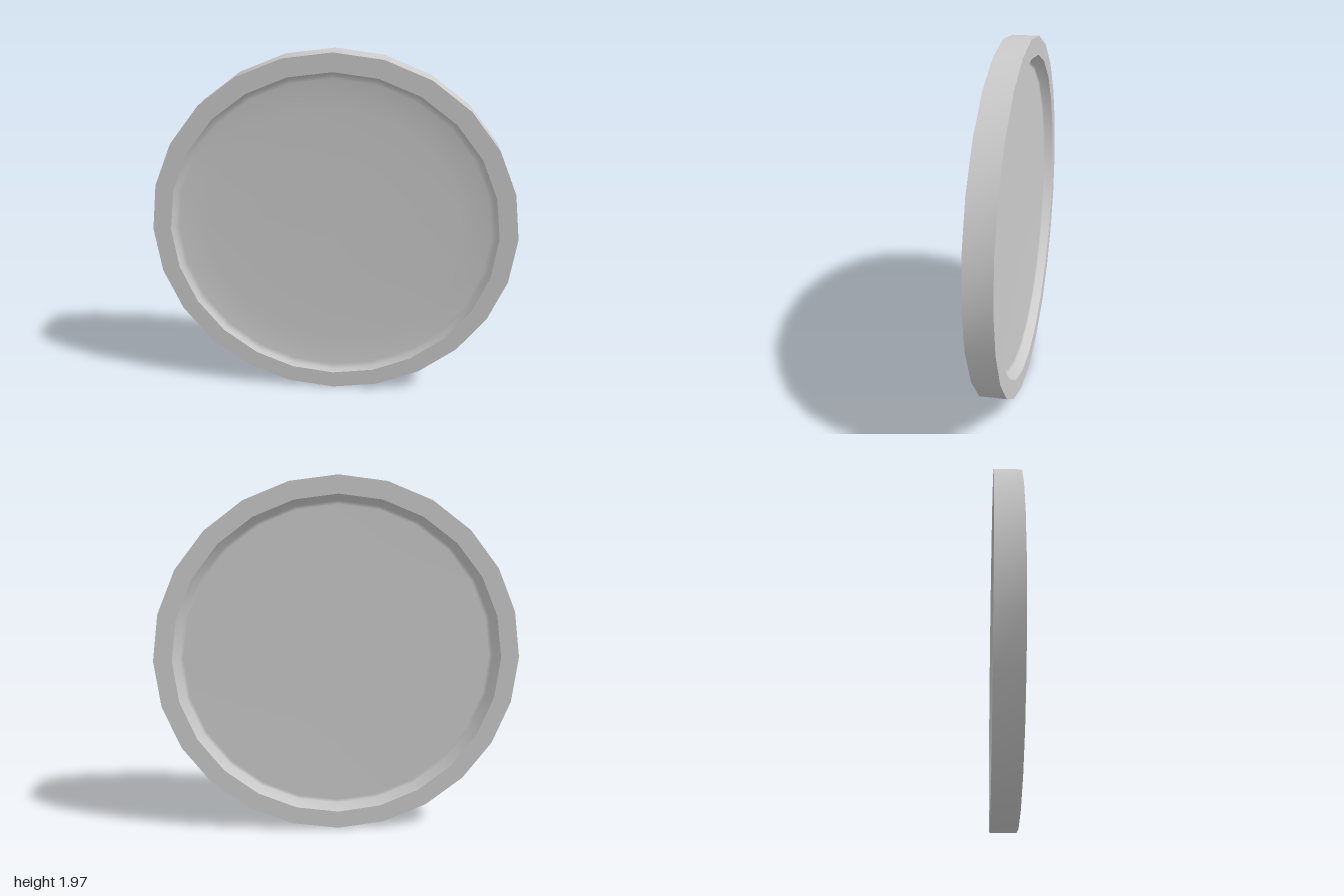
import * as THREE from 'three';
import { toCreasedNormals } from 'three/addons/utils/BufferGeometryUtils.js';

const SIDES = 24;
const RY = 0.983; // the disc is very slightly squashed in height

// Revolves a [radius, depth] profile about the z axis
function turned(name, profile, material, crease) {
  const points = profile.map(([r, z]) => new THREE.Vector2(r, z));
  let geometry = new THREE.LatheGeometry(points, SIDES);
  geometry.rotateX(Math.PI / 2);
  geometry.scale(1, RY, 1);
  if (crease) geometry = toCreasedNormals(geometry, crease);
  const mesh = new THREE.Mesh(geometry, material);
  mesh.name = name;
  mesh.position.y = RY;
  return mesh;
}

export function createModel() {
  const group = new THREE.Group();
  group.name = 'roundDish';
  const grey = new THREE.MeshStandardMaterial({ color: 0xcccccc });

  // Square-edged ring: back face, outer wall, front face
  group.add(turned('rim', [
    [0.9, -0.072], [1, -0.072], [1, 0.072], [0.9, 0.072],
  ], grey, 0.7));

  // Shallow concave front, steep only next to the rim
  group.add(turned('frontDish', [
    [0.9, 0.072], [0.885, 0.051], [0.86, 0.038], [0.7, 0.029], [0.4, 0.025], [0, 0.024],
  ], grey));

  // Back panel, sunk behind a sloping wall
  group.add(turned('backPanel', [
    [0, -0.018], [0.845, -0.02], [0.864, -0.025], [0.9, -0.072],
  ], grey));

  return group;
}
